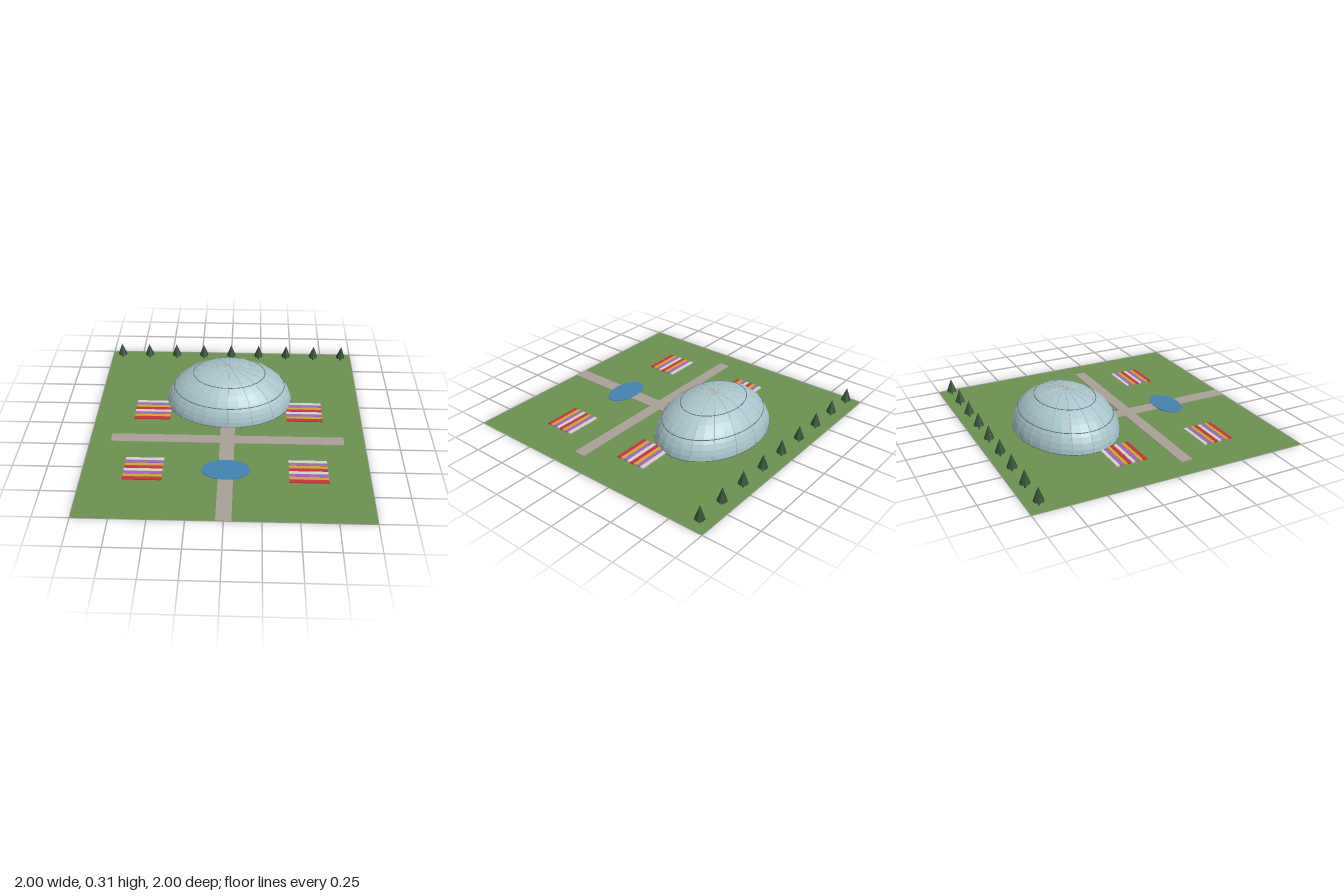
import * as THREE from 'three';

const mat = (name, color, extra = {}) => {
  const m = new THREE.MeshStandardMaterial({ color, ...extra });
  m.name = name;
  return m;
};

export function createModel() {
  const model = new THREE.Group();
  model.name = 'domeGarden';

  const grass = mat('grass', 0x6a914f, { side: THREE.DoubleSide });
  const paving = mat('paving', 0xa9a096);
  const water = mat('water', 0x4282b0);
  const glass = mat('glass', 0xa6c5cc, { flatShading: true });
  const frame = mat('frame', 0xb9bcbc);
  const foliage = mat('foliage', 0x2f4f30, { flatShading: true });
  const flowers = [
    mat('whiteFlowers', 0xd6d0c8),
    mat('purpleFlowers', 0x9a66c0),
    mat('goldFlowers', 0xcfa232),
    mat('redFlowers', 0xc8323a),
  ];

  const add = (name, geometry, material, x = 0, y = 0, z = 0, parent = model) => {
    const mesh = new THREE.Mesh(geometry, material);
    mesh.name = name;
    mesh.position.set(x, y, z);
    parent.add(mesh);
    return mesh;
  };

  // Lawn, paths and pond
  add('lawn', new THREE.PlaneGeometry(2, 2).rotateX(-Math.PI / 2), grass);
  add('mainPath', new THREE.BoxGeometry(0.106, 0.003, 1), paving, 0, 0.0015, 0.5);
  add('crossPath', new THREE.BoxGeometry(1.7, 0.004, 0.086), paving, 0, 0.002, 0.168);
  add('pond', new THREE.CylinderGeometry(1, 1, 0.006, 40).scale(0.17, 1, 0.102), water, 0, 0.003, 0.504);

  // Striped flower beds
  for (const side of [-1, 1]) {
    for (const bedZ of [-0.174, 0.51]) {
      const bed = new THREE.Group();
      bed.name = 'flowerBed';
      bed.position.set(side * 0.575, 0, bedZ);
      model.add(bed);
      for (let i = 0; i < 8; i++) {
        add('flowerRow', new THREE.BoxGeometry(0.272, 0.009, 0.026),
          flowers[i % 4], 0, 0.0045, (i - 3.5) * 0.0288, bed);
      }
    }
  }

  // Glass dome: half ellipsoid
  const RX = 0.48, RY = 0.302, RZ = 0.368;
  const dome = new THREE.Group();
  dome.name = 'dome';
  dome.position.z = -0.34;
  model.add(dome);
  add('domeGlass',
    new THREE.SphereGeometry(1, 32, 12, 0, Math.PI * 2, 0, Math.PI / 2).scale(RX, RY, RZ),
    glass, 0, 0, 0, dome);

  // Meridian ribs
  for (let i = 0; i < 16; i++) {
    const a = (i / 16) * Math.PI * 2;
    const points = [];
    for (let j = 0; j <= 12; j++) {
      const t = (j / 12) * Math.PI / 2;
      points.push(new THREE.Vector3(
        RX * Math.cos(t) * Math.cos(a), RY * Math.sin(t), RZ * Math.cos(t) * Math.sin(a)));
    }
    add('domeRib', new THREE.TubeGeometry(new THREE.CatmullRomCurve3(points), 24, 0.0028, 5),
      frame, 0, 0, 0, dome);
  }

  // Horizontal hoops
  const hoopFrame = mat('hoopFrame', 0x6c7376);
  for (const y of [0.003, 0.14, 0.248]) {
    const s = Math.sqrt(1 - (y / RY) ** 2);
    const points = [];
    for (let i = 0; i < 32; i++) {
      const a = (i / 32) * Math.PI * 2;
      points.push(new THREE.Vector3(RX * s * Math.cos(a), y, RZ * s * Math.sin(a)));
    }
    add('domeHoop', new THREE.TubeGeometry(new THREE.CatmullRomCurve3(points, true), 64, 0.003, 5, true),
      hoopFrame, 0, 0, 0, dome);
  }

  // Row of conifers along the back edge
  for (let i = 0; i < 9; i++) {
    const tree = new THREE.Group();
    tree.name = 'tree';
    tree.position.set((i - 4) * 0.2288, 0, -0.918);
    model.add(tree);
    add('trunk', new THREE.CylinderGeometry(0.005, 0.006, 0.04, 6), foliage, 0, 0.02, 0, tree);
    add('crown', new THREE.ConeGeometry(0.037, 0.1, 7), foliage, 0, 0.081, 0, tree);
  }

  return model;
}
